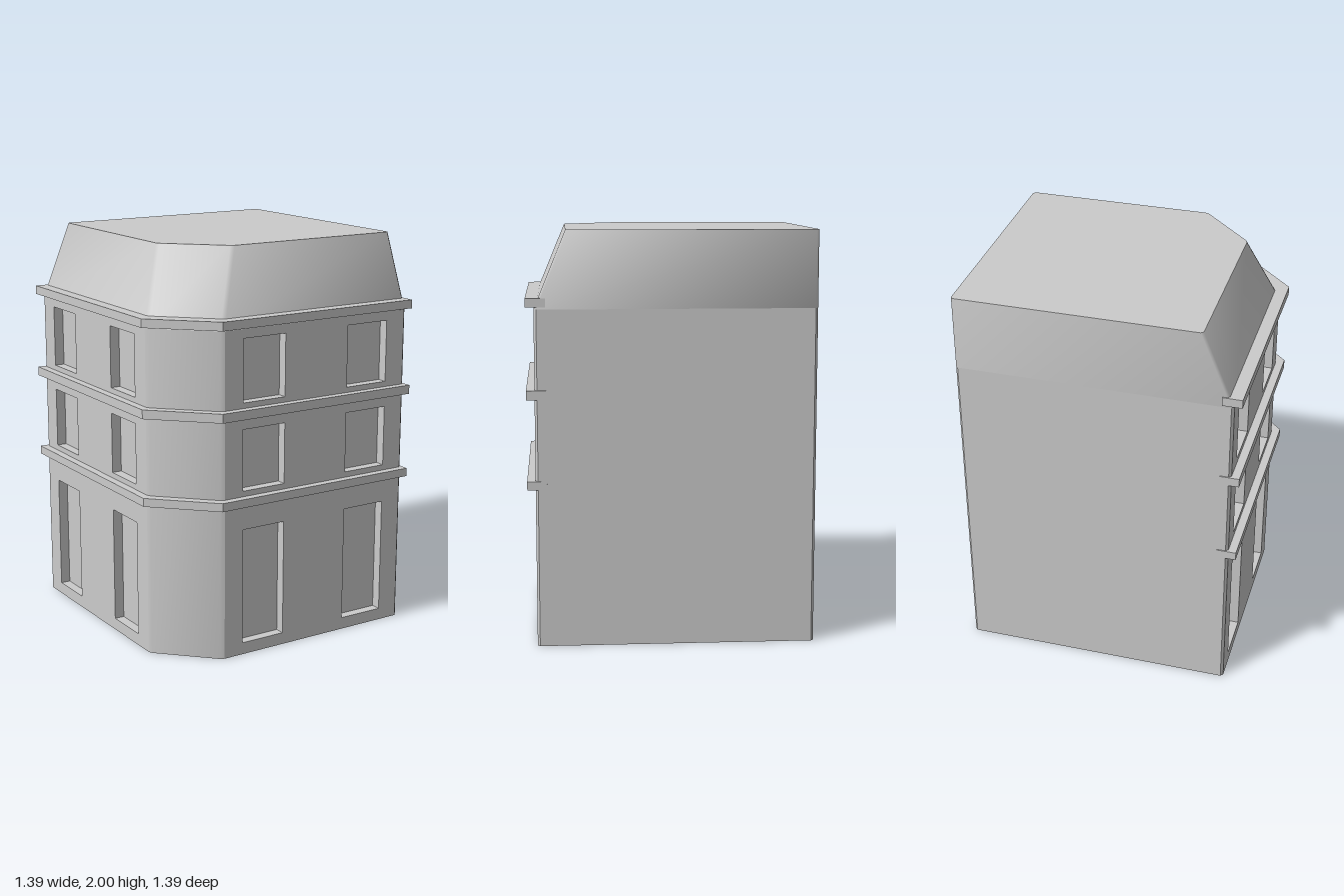
import * as THREE from 'three';
import { toCreasedNormals } from 'three/addons/utils/BufferGeometryUtils.js';

const EDGE = 0.69;      // flush right and back walls
const FACE = 0.655;     // distance of the two decorated facades
const CUT = 0.26;       // size of the chamfered street corner
const BEVEL = 0.012;
const EAVES = 1.63;
const FLOORS = [[0.06, 0.645], [0.84, 1.145], [1.275, 1.585]];
const BAYS = [[-0.28, -0.04], [0.33, 0.57]];

const material = new THREE.MeshStandardMaterial({ color: 0xcccccc });

function add(parent, name, geometry) {
  const mesh = new THREE.Mesh(geometry, material);
  mesh.name = name;
  parent.add(mesh);
  return mesh;
}

// Floor plan [x, z] with every corner slightly bevelled
function plan(o) {
  const corners = [[EDGE, o], [EDGE, -EDGE], [-o, -EDGE], [-o, o - CUT], [CUT - o, o]];
  const toward = (p, q) => {
    const t = BEVEL / Math.hypot(q[0] - p[0], q[1] - p[1]);
    return [p[0] + (q[0] - p[0]) * t, p[1] + (q[1] - p[1]) * t];
  };
  return corners.flatMap((p, i) => [toward(p, corners[(i + 4) % 5]), toward(p, corners[(i + 1) % 5])]);
}

// Wall strips between two plans, for the chosen edges
function loft(low, y0, high, y1, edges, crease) {
  const v = [];
  for (const i of edges) {
    const j = (i + 1) % low.length;
    const a = [low[i][0], y0, low[i][1]], b = [low[j][0], y0, low[j][1]];
    const c = [high[j][0], y1, high[j][1]], d = [high[i][0], y1, high[i][1]];
    v.push(...a, ...b, ...c, ...a, ...c, ...d);
  }
  const g = new THREE.BufferGeometry();
  g.setAttribute('position', new THREE.Float32BufferAttribute(v, 3));
  return toCreasedNormals(g, crease);
}

const planShape = (points) => new THREE.Shape(points.map(([x, z]) => new THREE.Vector2(x, -z)));

function rect(Type, x0, x1, y0, y1) {
  return new Type([[x0, y0], [x1, y0], [x1, y1], [x0, y1]].map(([x, y]) => new THREE.Vector2(x, y)));
}

// Wall with recessed openings; side = -1 mirrors the layout
function facade(name, side) {
  const group = new THREE.Group();
  group.name = name;
  const depth = 0.05;
  const span = (a, b) => (side > 0 ? [a, b] : [-b, -a]);
  const wall = rect(THREE.Shape, ...span(CUT - FACE + BEVEL, EDGE - BEVEL), 0, EAVES);
  FLOORS.forEach(([y0, y1], floor) => {
    for (const bay of BAYS) {
      const [x0, x1] = span(...bay);
      wall.holes.push(rect(THREE.Path, x0, x1, y0, y1));
      const pane = add(group, floor ? 'windowPane' : 'doorPanel', new THREE.PlaneGeometry(x1 - x0, y1 - y0));
      pane.position.set((x0 + x1) / 2, (y0 + y1) / 2, FACE - depth);
    }
  });
  const g = new THREE.ExtrudeGeometry(wall, { depth, bevelEnabled: false });
  add(group, 'facadeWall', g.translate(0, 0, FACE - depth));
  return group;
}

// Ledge following the two facades and the chamfered corner
function cornice(y0, y1) {
  const out = 0.695, cut = 0.275, inner = 0.6;
  const points = [
    [out, out], [out, inner], [CUT - inner, inner], [-inner, inner - CUT],
    [-inner, -out], [-out, -out], [-out, out - cut], [cut - out, out],
  ];
  const g = new THREE.ExtrudeGeometry(planShape(points), { depth: y1 - y0, bevelEnabled: false });
  return g.rotateX(-Math.PI / 2).translate(0, y0, 0);
}

export function createModel() {
  const model = new THREE.Group();
  model.name = 'cornerBuilding';
  const base = plan(FACE), top = plan(0.503);

  // Plain walls and chamfered corner
  add(model, 'plainWalls', loft(base, 0, base, EAVES, [0, 1, 2, 3, 4], 0.5));
  add(model, 'cornerWall', loft(base, 0, base, EAVES, [6, 7, 8], 0.5));
  add(model, 'floor', new THREE.ShapeGeometry(planShape(base)).rotateX(-Math.PI / 2).scale(1, -1, 1))
    .geometry.index.array.reverse();
  model.getObjectByName('floor').geometry.computeVertexNormals();

  // Decorated facades
  model.add(facade('frontFacade', 1));
  const sideFacade = facade('rightFacade', -1);
  sideFacade.rotation.y = -Math.PI / 2;
  model.add(sideFacade);

  // Ledges above each storey
  for (const [y0, y1] of [[0.77, 0.812], [1.203, 1.248], [1.64, 1.683]]) {
    add(model, 'cornice', cornice(y0, y1));
  }

  // Sloped roof, flush at the two plain sides
  const all = base.map((_, i) => i);
  add(model, 'roofSlopes', loft(base, EAVES, top, 2, all, 1));
  add(model, 'roofTop', new THREE.ShapeGeometry(planShape(top)).rotateX(-Math.PI / 2).translate(0, 2, 0));
  return model;
}
